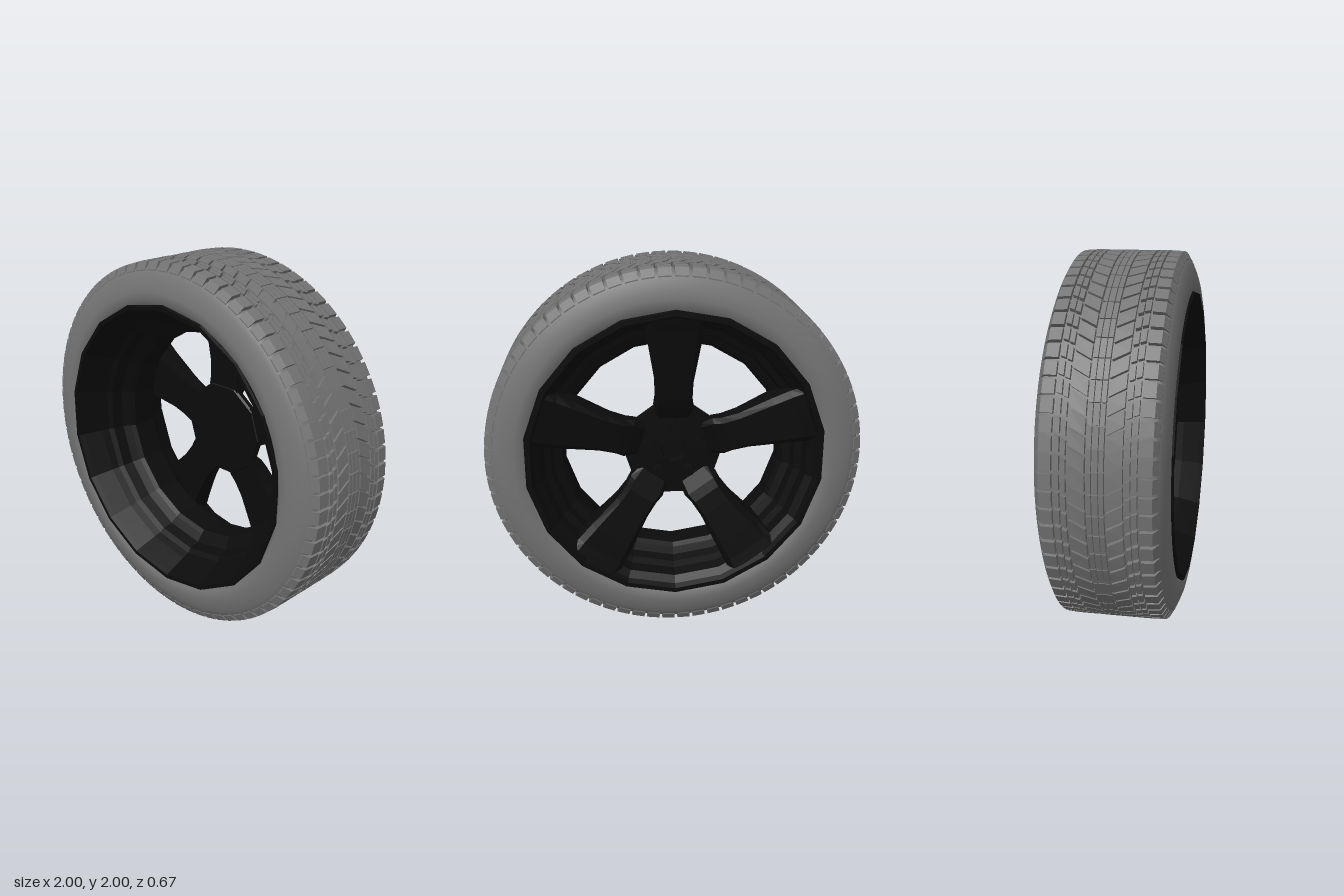
import * as THREE from 'three';

const rubber = new THREE.MeshStandardMaterial({ color: 0x747474 });
const rubberFlat = new THREE.MeshStandardMaterial({ color: 0x747474, flatShading: true });
const alloy = new THREE.MeshStandardMaterial({ color: 0x0b0b0b, flatShading: true, side: THREE.DoubleSide });

// Joins loops of points with quads and caps the last loop
function loft(out, rings) {
  const tri = (a, b, c) => out.push(...a, ...b, ...c);
  for (let k = 0; k + 1 < rings.length; k++) {
    const a = rings[k], b = rings[k + 1], n = a.length;
    for (let i = 0; i < n; i++) {
      const j = (i + 1) % n;
      tri(a[i], a[j], b[j]);
      tri(a[i], b[j], b[i]);
    }
  }
  const cap = rings[rings.length - 1];
  for (let i = 1; i + 1 < cap.length; i++) tri(cap[0], cap[i], cap[i + 1]);
}

function toGeometry(positions) {
  const g = new THREE.BufferGeometry();
  g.setAttribute('position', new THREE.Float32BufferAttribute(positions, 3));
  g.computeVertexNormals();
  return g;
}

// Lathe around the wheel axis (z) from [radius, z] pairs
function latheZ(profile, segments, start = 0) {
  return new THREE.LatheGeometry(profile.map(p => new THREE.Vector2(...p)), segments, start).rotateX(Math.PI / 2);
}

function named(name, geometry, material) {
  const mesh = new THREE.Mesh(geometry, material);
  mesh.name = name;
  return mesh;
}

// Raised tread block: angles a0..a1, slanted by skew from z0 to z1, top radii r0 and r1
function treadBlock(out, z0, z1, a0, a1, skew = 0, r0 = 1, r1 = 1) {
  const P = (a, r, z) => [r * Math.cos(a), r * Math.sin(a), z];
  const ring = (ra, rb) => [P(a0, ra, z0), P(a1, ra, z0), P(a1 + skew, rb, z1), P(a0 + skew, rb, z1)];
  loft(out, [ring(r0 - 0.04, r1 - 0.04), ring(r0, r1)]);
}

function createTread() {
  const out = [];
  const N = 72, step = (2 * Math.PI) / N;
  // Mirrors a block to both sides of the tread
  const pair = (z0, z1, a, b, skew, r0, r1) => {
    treadBlock(out, z0, z1, a, b, skew, r0, r1);
    treadBlock(out, -z1, -z0, a + skew, b + skew, -skew, r1, r0);
  };
  for (let i = 0; i < N; i++) {
    const a = i * step;
    pair(0.048, 0.126, a, a + step * 0.85, -step * 0.5);
    pair(0.136, 0.16, a + step * 0.2, a + step * 0.96, -step * 0.1);
    pair(0.166, 0.192, a, a + step * 0.8, -step * 0.1);
    // Shoulder block rolling over onto the sidewall
    pair(0.202, 0.262, a, a + step * 0.8, 0, 1, 0.996);
    pair(0.262, 0.284, a, a + step * 0.8, 0, 0.996, 0.958);
  }
  // Centre ribs
  const M = 60, rib = (2 * Math.PI) / M;
  for (let i = 0; i < M; i++) {
    const a = i * rib;
    treadBlock(out, -0.014, 0.014, a, a + rib * 0.95);
    pair(0.018, 0.04, a, a + rib * 0.95, 0);
  }
  return toGeometry(out);
}

function createTyre() {
  const tyre = new THREE.Group();
  tyre.name = 'tyre';
  const half = [[0.977, 0.2], [0.974, 0.262], [0.957, 0.281], [0.93, 0.296], [0.89, 0.311], [0.845, 0.32], [0.80, 0.32], [0.765, 0.29]];
  const mirrored = half.map(([r, z]) => [r, -z]).reverse();
  tyre.add(named('tyreBody', latheZ([...mirrored, ...half, [0.765, -0.29]], 84), rubber));
  tyre.add(named('tread', createTread(), rubberFlat));
  return tyre;
}

// Spoke pointing along +y, rising from the recessed hub to the rim lip
function spokeGeometry() {
  // radius, half width, front z, chamfer z, outer face z
  const sections = [
    [0.18, 0.09, -0.125, -0.155, -0.17],
    [0.25, 0.106, -0.125, -0.185, -0.215],
    [0.3, 0.098, -0.125, -0.2, -0.235],
    [0.39, 0.1, -0.125, -0.22, -0.25],
    [0.58, 0.132, -0.12, -0.25, -0.28],
    [0.68, 0.148, -0.19, -0.272, -0.295],
    [0.74, 0.155, -0.265, -0.29, -0.308],
  ];
  const out = [];
  loft(out, sections.map(([r, w, zf, zm, zb]) => [
    [w, r, zf], [w, r, zm], [w * 0.78, r, zb], [-w * 0.78, r, zb], [-w, r, zm], [-w, r, zf],
  ]));
  return toGeometry(out);
}

function createRim() {
  const rim = new THREE.Group();
  rim.name = 'rim';
  // Stepped barrel with a lip on both sides
  const barrel = [
    [0.77, -0.29], [0.795, -0.315], [0.79, -0.328], [0.765, -0.328], [0.75, -0.3],
    [0.715, -0.27], [0.7, -0.21], [0.665, -0.2], [0.65, -0.15], [0.61, -0.135], [0.592, -0.11],
    [0.595, 0.03], [0.615, 0.05], [0.655, 0.08], [0.67, 0.14], [0.695, 0.16], [0.71, 0.2],
    [0.755, 0.3], [0.768, 0.328], [0.79, 0.328], [0.795, 0.315], [0.77, 0.29],
  ];
  rim.add(named('barrel', latheZ(barrel, 18), alloy));

  // Ten-sided hub plate with a recessed bore on the outer side
  const hub = [[0, -0.12], [0.262, -0.12], [0.272, -0.13], [0.262, -0.165], [0.07, -0.17], [0.06, -0.135], [0, -0.135]];
  rim.add(named('hub', latheZ(hub, 10, Math.PI / 10), alloy));

  const spoke = spokeGeometry();
  const nutShape = new THREE.CylinderGeometry(0.035, 0.03, 0.045, 6).rotateX(Math.PI / 2);
  for (let i = 0; i < 5; i++) {
    const arm = new THREE.Group();
    arm.name = 'spokeWithNut';
    arm.add(named('spoke', spoke, alloy));
    const nut = named('wheelNut', nutShape, alloy);
    nut.position.set(0, 0.14, -0.185);
    arm.add(nut);
    arm.rotation.z = (i * 2 * Math.PI) / 5;
    rim.add(arm);
  }
  return rim;
}

export function createModel() {
  const wheel = new THREE.Group();
  wheel.name = 'wheel';
  wheel.add(createTyre(), createRim());
  wheel.position.y = 1;
  // Slight toe angle
  wheel.rotation.y = 0.008;
  const model = new THREE.Group();
  model.name = 'carWheel';
  model.add(wheel);
  return model;
}
